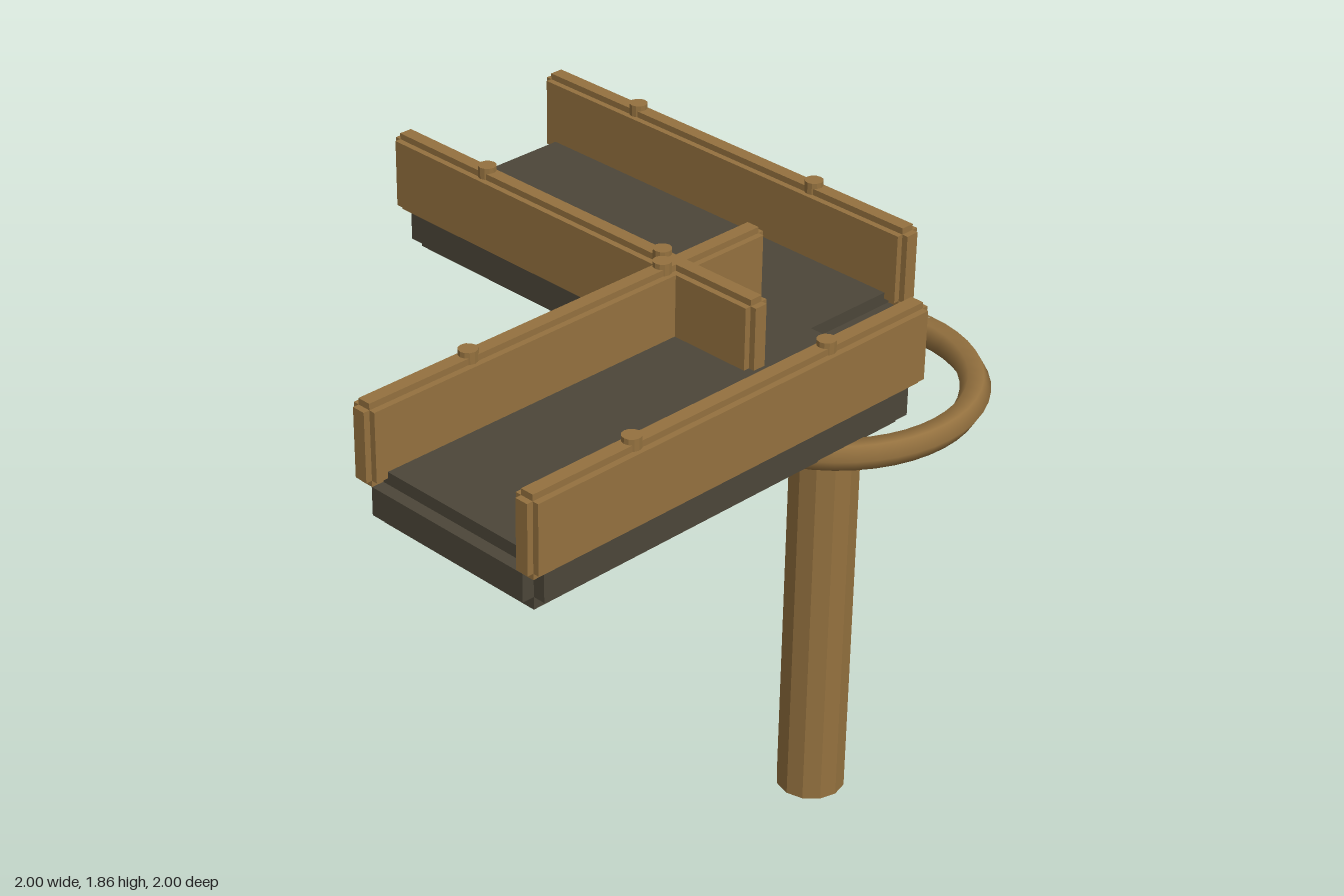
import * as THREE from 'three';
import { mergeGeometries } from 'three/addons/utils/BufferGeometryUtils.js';

const wood = new THREE.MeshStandardMaterial({ color: 0x94713f, flatShading: true });
const woodSmooth = new THREE.MeshStandardMaterial({ color: 0x94713f });
const stone = new THREE.MeshStandardMaterial({ color: 0x4c4639, flatShading: true });

const CORNER = 0.52; // x and z of the post, and middle line of both arms

function addMesh(parent, name, geometry, material, x, y, z) {
  const mesh = new THREE.Mesh(geometry, material);
  mesh.name = name;
  mesh.position.set(x, y, z);
  parent.add(mesh);
  return mesh;
}

// Box with stepped edges: three crossing boxes, each full size along one axis
function steppedBox(w, h, d, step) {
  const s = 2 * step;
  return mergeGeometries([
    new THREE.BoxGeometry(w, h - s, d - s),
    new THREE.BoxGeometry(w - s, h, d - s),
    new THREE.BoxGeometry(w - s, h - s, d),
  ]);
}

// One arm of the walkway: deck, two side rails, two pegs on each rail
function createArm(name, alongX) {
  const arm = new THREE.Group();
  arm.name = name;
  const box = (length, height, width, step) =>
    alongX ? steppedBox(length, height, width, step) : steppedBox(width, height, length, step);
  const place = (part, geometry, material, along, y, across) =>
    addMesh(arm, part, geometry, material, alongX ? along : across, y, alongX ? across : along);

  const middle = -0.23;
  place('deck', box(1.5, 0.17, 0.68, 0.04), stone, middle, 1.535, CORNER);
  for (const [side, offset] of [['inner', -0.32], ['outer', 0.32]]) {
    const across = CORNER + offset;
    place(side + 'Rail', box(1.54, 0.26, 0.084, 0.02), wood, middle, 1.71, across);
    for (const shift of [-0.375, 0.375]) {
      place(side + 'RailPeg', new THREE.CylinderGeometry(0.029, 0.029, 0.06, 12), wood,
        middle + shift, 1.827, across);
    }
  }
  return arm;
}

export function createModel() {
  const model = new THREE.Group();
  model.name = 'cornerWalkway';

  // Support post with a hoop around its top
  addMesh(model, 'post', new THREE.CylinderGeometry(0.108, 0.108, 1.505, 12), wood,
    CORNER, 0.7525, CORNER);
  const hoop = addMesh(model, 'hoop', new THREE.TorusGeometry(0.43, 0.046, 6, 48, 6.28), woodSmooth,
    CORNER, 1.45, CORNER);
  hoop.rotation.x = Math.PI / 2;

  // Two arms meeting at a right angle
  model.add(createArm('sideArm', true), createArm('backArm', false));
  return model;
}
